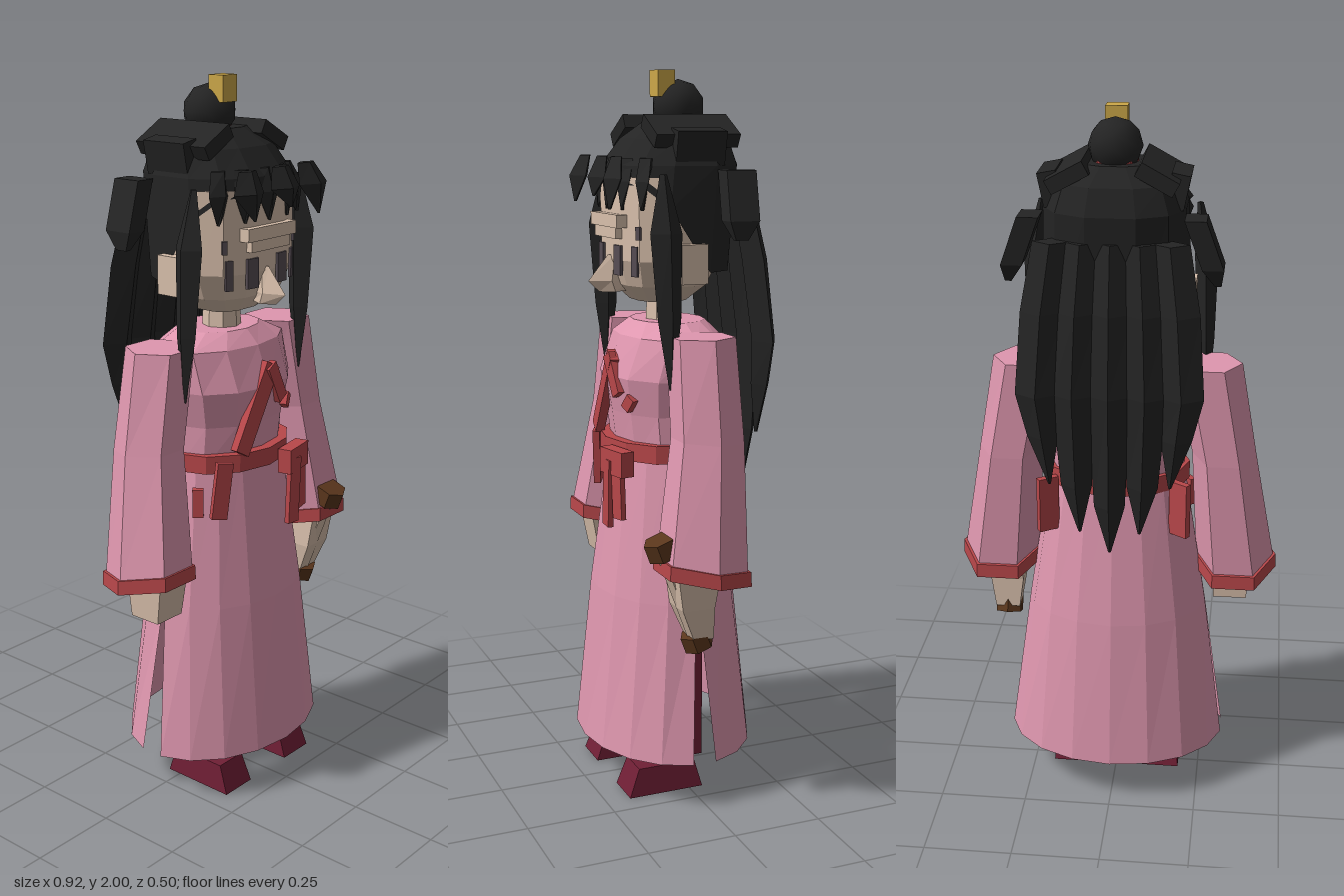
import * as THREE from 'three';

const mat = (name, color, side = THREE.FrontSide) => {
  const m = new THREE.MeshStandardMaterial({ color, side });
  m.name = name;
  return m;
};

// Horizontal section running front -> +x -> back; tilt raises the front, e < 1 squares it off
function ring(y, cx, rx, zFront, zBack, n = 12, off = 0, tilt = 0, e = 1) {
  const cz = (zFront + zBack) / 2, rz = (zFront - zBack) / 2;
  const p = (v) => Math.sign(v) * Math.abs(v) ** e;
  return Array.from({ length: n }, (_, i) => {
    const t = off + (i / n) * Math.PI * 2;
    const z = rz * p(Math.cos(t));
    return [cx + rx * p(Math.sin(t)), y + tilt * z, cz + z];
  });
}

// Flat-shaded skin over sections listed from bottom to top; s = -1 mirrors in x
function loft(rings, { s = 1, closed = true, bottom = true, top = true } = {}) {
  const R = s > 0 ? rings : rings.map((r) => r.map(([x, y, z]) => [-x, y, z]).reverse());
  const pos = [], n = R[0].length;
  const tri = (a, b, c) => pos.push(...a, ...b, ...c);
  for (let k = 0; k < R.length - 1; k++) {
    for (let i = 0; i < (closed ? n : n - 1); i++) {
      const j = (i + 1) % n;
      tri(R[k][i], R[k][j], R[k + 1][j]);
      tri(R[k][i], R[k + 1][j], R[k + 1][i]);
    }
  }
  const last = R[R.length - 1];
  for (let i = 1; closed && i < n - 1; i++) {
    if (bottom) tri(R[0][0], R[0][i + 1], R[0][i]);
    if (top) tri(last[0], last[i], last[i + 1]);
  }
  const g = new THREE.BufferGeometry();
  g.setAttribute('position', new THREE.Float32BufferAttribute(pos, 3));
  g.computeVertexNormals();
  return g;
}

export function createModel() {
  const model = new THREE.Group();
  model.name = 'robedFigure';
  const pink = mat('pinkCloth', 0xdf97af, THREE.DoubleSide);
  const red = mat('redTrim', 0xb8474a);
  const maroon = mat('maroonLeather', 0x701f35);
  const skin = mat('skin', 0xd9c0ac);
  const black = mat('blackHair', 0x242424, THREE.DoubleSide);
  const gold = mat('goldPin', 0xcda849);
  const brown = mat('brownWood', 0x5a361c);
  const dark = mat('darkEyes', 0x574d54);

  const add = (name, geo, m) => {
    const mesh = new THREE.Mesh(geo, m);
    mesh.name = name;
    model.add(mesh);
    return mesh;
  };
  const box = (name, m, [w, h, d], [x, y, z], [a, b, c] = [0, 0, 0]) => {
    const mesh = add(name, new THREE.BoxGeometry(w, h, d), m);
    mesh.position.set(x, y, z);
    mesh.rotation.set(a, b, c);
  };
  const Q = Math.PI / 4;

  // Skirt: front and back panels with slits at the sides
  const panel = (front) => [[0.13, 0.32, 0.24, 82], [0.57, 0.258, 0.195, 89], [0.97, 0.195, 0.14, 90]]
    .map(([y, rx, rz, deg]) => Array.from({ length: 9 }, (_, i) => {
      const t = ((i / 4 - 1) * deg * Math.PI) / 180 + (front ? 0 : Math.PI);
      return [rx * Math.sin(t), y, 0.008 + rz * Math.cos(t)];
    }));
  add('skirtFront', loft(panel(true), { closed: false }), pink);
  add('skirtBack', loft(panel(false), { closed: false }), pink);

  // Bodice
  add('bodice', loft([
    ring(0.96, 0, 0.19, 0.14, -0.125), ring(1.08, 0, 0.19, 0.155, -0.13),
    ring(1.18, 0, 0.215, 0.172, -0.15), ring(1.29, 0, 0.22, 0.13, -0.145),
    ring(1.33, 0, 0.13, 0.09, -0.11),
  ]), pink);

  // Crossed collar bands
  box('collarBand', red, [0.05, 0.26, 0.025], [-0.045, 1.125, 0.158], [-0.06, -0.12, -0.52]);
  box('collarBandShort', red, [0.04, 0.12, 0.02], [0.035, 1.185, 0.163], [0, 0.1, 0.5]);
  box('collarKnot', red, [0.03, 0.04, 0.02], [0.105, 1.115, 0.144], [0, 0.4, -0.6]);

  // Belt, knot and tails
  add('belt', loft([ring(0.955, 0, 0.205, 0.175, -0.142), ring(1.005, 0, 0.205, 0.175, -0.142)]), red);
  box('beltKnot', red, [0.11, 0.07, 0.04], [0.1, 0.955, 0.18], [0, 0.2, 0]);
  box('beltTail', red, [0.045, 0.19, 0.015], [0.078, 0.865, 0.198], [0, 0, -0.05]);
  box('beltTail', red, [0.045, 0.15, 0.015], [0.125, 0.875, 0.185], [0, 0.2, 0.05]);
  box('beltTail', red, [0.045, 0.16, 0.02], [-0.165, 0.915, 0.14], [0, -0.5, -0.12]);
  box('beltTail', red, [0.03, 0.08, 0.02], [-0.205, 0.88, 0.09], [0, -0.9, 0]);

  for (const s of [1, -1]) {
    box('backBeltTail', red, [0.06, 0.16, 0.02], [s * 0.185, 0.91, -0.105], [0, s * 0.6, 0]);

    // Legs and shoes
    box('leg', maroon, [0.09, 0.75, 0.085], [s * 0.135, 0.47, 0.0]);
    add('shoe', loft([
      ring(0, 0.135, 0.078, 0.226, -0.086, 4, Q), ring(0.08, 0.135, 0.068, 0.185, -0.053, 4, Q),
    ], { s }), maroon);

    // Sleeve with slanted cuff
    add('sleeve', loft([
      ring(0.71, 0.34, 0.112, 0.155, -0.095, 6, Math.PI / 6, 0.18),
      ring(1.04, 0.302, 0.09, 0.1, -0.1, 6, Math.PI / 6, 0.08),
      ring(1.31, 0.25, 0.095, 0.09, -0.095, 6, Math.PI / 6),
    ], { s }), pink);
    add('cuff', loft([
      ring(0.675, 0.34, 0.121, 0.165, -0.106, 6, Math.PI / 6, 0.18),
      ring(0.715, 0.34, 0.119, 0.163, -0.104, 6, Math.PI / 6, 0.18),
    ], { s }), red);

    // Hand
    add('hand', loft(s < 0
      ? [ring(0.58, 0.33, 0.068, 0.115, -0.02, 4, Q), ring(0.69, 0.335, 0.075, 0.14, -0.03, 4, Q)]
      : [ring(0.51, 0.33, 0.05, 0.075, -0.005, 4, Q), ring(0.6, 0.33, 0.068, 0.12, -0.01, 4, Q),
        ring(0.69, 0.335, 0.07, 0.14, -0.03, 4, Q)], { s }), skin);

    // Ears
    box('ear', skin, [0.035, 0.105, 0.075], [s * 0.197, 1.495, -0.002]);

    // Eyes and brows
    box('innerEye', dark, [0.042, 0.08, 0.008], [s * 0.061, 1.5, 0.158], [0, s * 0.08, 0]);
    box('outerEye', dark, [0.022, 0.08, 0.008], [s * 0.13, 1.5, 0.136], [0, s * 0.45, 0]);
    box('brow', dark, [0.014, 0.035, 0.008], [s * 0.144, 1.575, 0.132], [0, s * 0.6, 0]);

    // Long side lock
    add('sideLock', loft([
      ring(1.17, 0.245, 0.004, 0.085, 0.075, 4), ring(1.35, 0.24, 0.022, 0.115, 0.05, 4),
      ring(1.58, 0.235, 0.032, 0.135, 0.045, 4), ring(1.73, 0.215, 0.008, 0.1, 0.08, 4),
    ], { s }), black);

    // Swept tuft at the side of the head
    add('sideTuft', loft([
      ring(1.56, 0.275, 0.012, -0.08, -0.13, 4, Q), ring(1.61, 0.262, 0.04, -0.05, -0.17, 4, Q),
      ring(1.74, 0.215, 0.04, -0.06, -0.18, 4, Q),
    ], { s }), black);

    // Raised strand on the crown
    box('crownStrand', black, [0.11, 0.04, 0.24], [s * 0.115, 1.84, -0.03], [0, 0, s * -0.5]);
    box('crownStrandEnd', black, [0.05, 0.09, 0.14], [s * 0.165, 1.8, -0.03], [0, 0, s * -0.2]);
  }

  // Wooden rod held in the left hand
  const rod = new THREE.Group();
  rod.name = 'heldRod';
  for (const [name, r, h, y, m] of [
    ['rodGrip', 0.022, 0.25, 0, skin], ['rodTop', 0.046, 0.05, 0.145, brown], ['rodEnd', 0.042, 0.045, -0.14, brown],
  ]) {
    const mesh = new THREE.Mesh(new THREE.CylinderGeometry(r, r, h, 6).toNonIndexed(), m);
    mesh.geometry.computeVertexNormals();
    mesh.name = name;
    mesh.position.y = y;
    rod.add(mesh);
  }
  rod.position.set(0.33, 0.632, 0.09);
  rod.rotation.x = 0.36;
  model.add(rod);

  // Neck, head, brow ridge and nose
  add('neck', loft([ring(1.3, 0, 0.055, 0.055, -0.055, 8), ring(1.42, 0, 0.05, 0.05, -0.05, 8)]), skin);
  const H = [12, Math.PI / 12, 0, 0.7];
  add('head', loft([
    ring(1.385, 0, 0.09, 0.09, -0.05, ...H), ring(1.43, 0, 0.15, 0.135, -0.1, ...H),
    ring(1.5, 0, 0.185, 0.16, -0.13, ...H), ring(1.72, 0, 0.185, 0.162, -0.13, ...H),
  ]), skin);
  box('browRidge', skin, [0.2, 0.035, 0.03], [0, 1.605, 0.162]);
  box('browRidgeLower', skin, [0.16, 0.03, 0.02], [0, 1.573, 0.162]);
  add('nose', loft([
    ring(1.41, 0, 0.02, 0.19, 0.11, 4), ring(1.44, 0, 0.022, 0.222, 0.1, 4), ring(1.51, 0, 0.008, 0.165, 0.13, 4),
  ]), skin);

  // Hair cap: high over the face, low at the nape
  const hem = ring(1.7, 0, 0.197, 0.168, -0.165, 12, Math.PI / 12, 0, 0.8)
    .map(([x, y, z]) => [x, z > 0.06 ? y : z > -0.02 ? 1.64 : 1.47, z]);
  const C = [12, Math.PI / 12, 0, 0.8];
  add('hairCap', loft([
    hem, ring(1.75, 0, 0.192, 0.165, -0.195, ...C),
    ring(1.82, 0, 0.165, 0.11, -0.17, ...C), ring(1.865, 0, 0.095, 0.05, -0.12, ...C),
  ], { bottom: false }), black);

  // Fringe: loose spikes in front and short ones along the hairline
  for (const [x, tip] of [[-0.13, 1.65], [0.02, 1.67], [0.14, 1.64]]) {
    add('fringe', loft([
      ring(tip, x + 0.01, 0.004, 0.218, 0.21, 4), ring(1.72, x, 0.06, 0.228, 0.175, 4),
      ring(1.775, x * 0.9, 0.035, 0.2, 0.17, 4),
    ]), black);
  }
  for (const x of [-0.15, -0.08, 0, 0.08, 0.15]) {
    const z = 0.16 - x * x * 1.6;
    add('hairlineSpike', loft([
      ring(1.635, x * 1.1, 0.003, z + 0.01, z, 4), ring(1.71, x, 0.045, z + 0.018, z - 0.02, 4),
      ring(1.77, x * 0.9, 0.03, z, z - 0.04, 4),
    ]), black);
  }

  // Long back hair in five ridged strands
  for (let i = -2; i <= 2; i++) {
    const x = i * 0.096, tip = [0.82, 0.88, 1.02][Math.abs(i)];
    add('backStrand', loft([
      ring(tip, x * 0.85, 0.004, -0.205, -0.215, 4), ring(tip + 0.14, x * 0.93, 0.042, -0.185, -0.24, 4),
      ring(1.28, x, 0.058, -0.18, -0.25, 4), ring(1.5, x * 0.92, 0.058, -0.155, -0.23, 4),
      ring(1.68, x * 0.8, 0.05, -0.13, -0.195, 4),
    ]), black);
  }

  // Bun with ribbon and gold pin
  const bun = add('bun', new THREE.IcosahedronGeometry(0.072, 1), black);
  bun.position.set(0, 1.905, -0.042);
  add('bunRibbon', loft([ring(1.855, 0, 0.06, 0.015, -0.1, 8), ring(1.875, 0, 0.06, 0.015, -0.1, 8)]), red);
  box('hairPin', gold, [0.058, 0.07, 0.05], [0, 1.965, 0.004]);

  return model;
}
